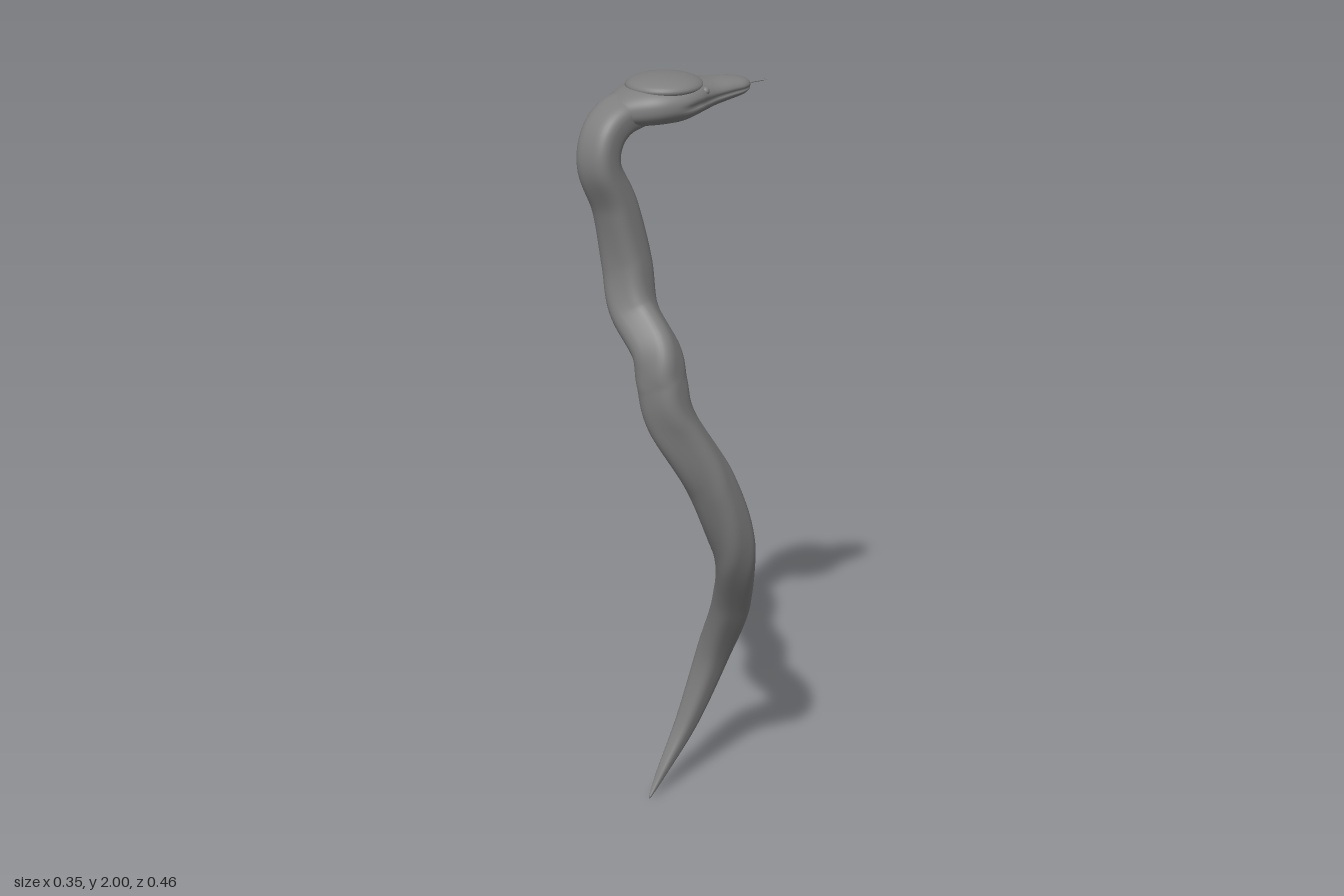
import * as THREE from 'three';

const V = (x, y, z) => new THREE.Vector3(x, y, z);
const skinMaterial = new THREE.MeshStandardMaterial({ color: 0x7e7e7e });

function part(name, geometry) {
  const mesh = new THREE.Mesh(geometry, skinMaterial);
  mesh.name = name;
  return mesh;
}

// Skin closed rings of points, with a pole at each end
function skin(rings, start, end) {
  const n = rings[0].length, pos = [], idx = [];
  rings.flat().forEach(p => pos.push(p.x, p.y, p.z));
  const a = rings.length * n, last = (rings.length - 1) * n;
  pos.push(start.x, start.y, start.z, end.x, end.y, end.z);
  for (let j = 0; j < n; j++) {
    const k = (j + 1) % n;
    for (let i = 0; i < rings.length - 1; i++) {
      const r = i * n, s = r + n;
      idx.push(r + j, r + k, s + k, r + j, s + k, s + j);
    }
    idx.push(a, k, j, a + 1, last + j, last + k);
  }
  const g = new THREE.BufferGeometry();
  g.setAttribute('position', new THREE.Float32BufferAttribute(pos, 3));
  g.setIndex(idx);
  g.computeVertexNormals();
  return g;
}

// Rounded-square ring; power 2 is an ellipse, higher is boxier
function ring(center, side, up, w, h, power, count, pinch = () => 1) {
  const e = 2 / power, pts = [];
  const f = v => Math.sign(v) * Math.abs(v) ** e;
  for (let j = 0; j < count; j++) {
    const t = j / count * Math.PI * 2, k = pinch(t);
    pts.push(center.clone()
      .addScaledVector(side, f(Math.cos(t)) * w * k)
      .addScaledVector(up, f(Math.sin(t)) * h));
  }
  return pts;
}

// Smooth interpolation through rows of numbers
function sampleRows(rows, t) {
  const f = t * (rows.length - 1), i = Math.min(Math.floor(f), rows.length - 2), u = f - i;
  const at = k => rows[Math.max(0, Math.min(rows.length - 1, k))];
  return rows[0].map((_, c) => {
    const [p0, p1, p2, p3] = [at(i - 1)[c], at(i)[c], at(i + 1)[c], at(i + 2)[c]];
    return p1 + 0.5 * u * (p2 - p0 + u * (2 * p0 - 5 * p1 + 4 * p2 - p3 + u * (3 * (p1 - p2) + p3 - p0)));
  });
}

// Winding body: x, y, z, half width, half depth
const BODY = [
  [-0.148, 0.005, -0.01, 0.003, 0.003], [-0.146, 0.06, -0.055, 0.013, 0.012],
  [-0.125, 0.2, -0.142, 0.028, 0.028], [-0.075, 0.4, -0.187, 0.042, 0.039],
  [0.02, 0.6, -0.145, 0.053, 0.045], [0.104, 0.81, -0.045, 0.058, 0.049],
  [0.1, 1.01, 0.037, 0.058, 0.05], [0.05, 1.19, 0.126, 0.057, 0.05],
  [0.032, 1.29, 0.141, 0.056, 0.053], [0.012, 1.365, 0.139, 0.055, 0.053],
  [-0.07, 1.45, 0.125, 0.055, 0.053], [-0.1, 1.56, 0.115, 0.056, 0.052],
  [-0.11, 1.7, 0.143, 0.051, 0.046], [-0.116, 1.8, 0.188, 0.049, 0.042],
  [-0.117, 1.87, 0.176, 0.05, 0.042], [-0.112, 1.913, 0.128, 0.053, 0.041],
  [-0.092, 1.93, 0.06, 0.05, 0.036],
];

function bodyGeometry() {
  const steps = 170, rings = [], dorsal = V(0, 1, 1).normalize();
  const at = t => V(...sampleRows(BODY, t));
  for (let i = 0; i <= steps; i++) {
    const t = i / steps, row = sampleRows(BODY, t);
    const tan = at(Math.min(1, t + 0.004)).sub(at(Math.max(0, t - 0.004))).normalize();
    const side = dorsal.clone().cross(tan).normalize();
    const up = tan.clone().cross(side);
    rings.push(ring(V(...row), side, up, row[3], row[4], 3, 36));
  }
  return skin(rings, V(-0.148, 0, -0.008), at(1));
}

// Head axis: distance along, sideways offset and height to a point
const AXIS = V(0.43, 0, -0.903), SIDE = V(-0.903, 0, -0.43);
const onHead = (s, l, y) => V(-0.075, y, 0.02).addScaledVector(AXIS, s).addScaledVector(SIDE, l);

// Distance along the axis, top, bottom, half width
const HEAD = [
  [-0.13, 1.945, 1.895, 0.04], [-0.1, 1.965, 1.89, 0.064], [-0.06, 1.98, 1.887, 0.088],
  [-0.02, 1.987, 1.887, 0.1], [0.03, 1.99, 1.89, 0.1], [0.07, 1.988, 1.9, 0.087],
  [0.1, 1.983, 1.907, 0.069], [0.13, 1.979, 1.915, 0.056], [0.17, 1.978, 1.924, 0.048],
  [0.2, 1.975, 1.931, 0.042], [0.218, 1.97, 1.938, 0.031], [0.227, 1.964, 1.945, 0.018],
];

function headGeometry() {
  const steps = 66, rings = [];
  for (let i = 0; i <= steps; i++) {
    const [s, top, bottom, w] = sampleRows(HEAD, i / steps);
    const depth = 0.1 * THREE.MathUtils.smoothstep(s, 0, 0.07);
    // shallow groove for the mouth on both sides
    const pinch = t => 1 - depth * Math.exp(-(((Math.abs(Math.cos(t)) < 0.5 ? 9 : Math.sin(t) + 0.1) / 0.1) ** 2));
    rings.push(ring(onHead(s, 0, (top + bottom) / 2), SIDE, V(0, 1, 0), w, (top - bottom) / 2, 2.3, 64, pinch));
  }
  return skin(rings, onHead(-0.135, 0, 1.918), onHead(0.23, 0, 1.955));
}

function tube(points, radius) {
  return new THREE.TubeGeometry(new THREE.CatmullRomCurve3(points), 8, radius, 6);
}

export function createModel() {
  const model = new THREE.Group();
  model.name = 'snake';
  model.add(part('body', bodyGeometry()));

  const head = new THREE.Group();
  head.name = 'head';
  head.add(part('skull', headGeometry()));

  // Low domed crown forming the brow
  const crown = part('crown', new THREE.SphereGeometry(1, 48, 24));
  crown.scale.set(0.093, 0.027, 0.093);
  crown.position.copy(onHead(0.012, 0, 1.973));
  head.add(crown);

  // Eyes and nostrils
  for (const m of [-1, 1]) {
    const eye = part('eye', new THREE.SphereGeometry(0.01, 20, 14));
    eye.position.copy(onHead(0.088, m * 0.064, 1.963));
    const nostril = part('nostril', new THREE.SphereGeometry(0.003, 12, 8));
    nostril.position.copy(onHead(0.198, m * 0.03, 1.967));
    head.add(eye, nostril);
  }

  // Forked tongue
  const tongue = new THREE.Group();
  tongue.name = 'tongue';
  const split = V(0.042, 1.958, -0.222);
  tongue.add(part('tongueStem', tube([onHead(0.2, 0, 1.953), V(0.028, 1.956, -0.195), split], 0.0018)));
  for (const tip of [V(0.038, 1.96, -0.232), V(0.05, 1.96, -0.228)])
    tongue.add(part('tongueFork', tube([split, tip], 0.0012)));
  head.add(tongue);

  model.add(head);
  return model;
}
